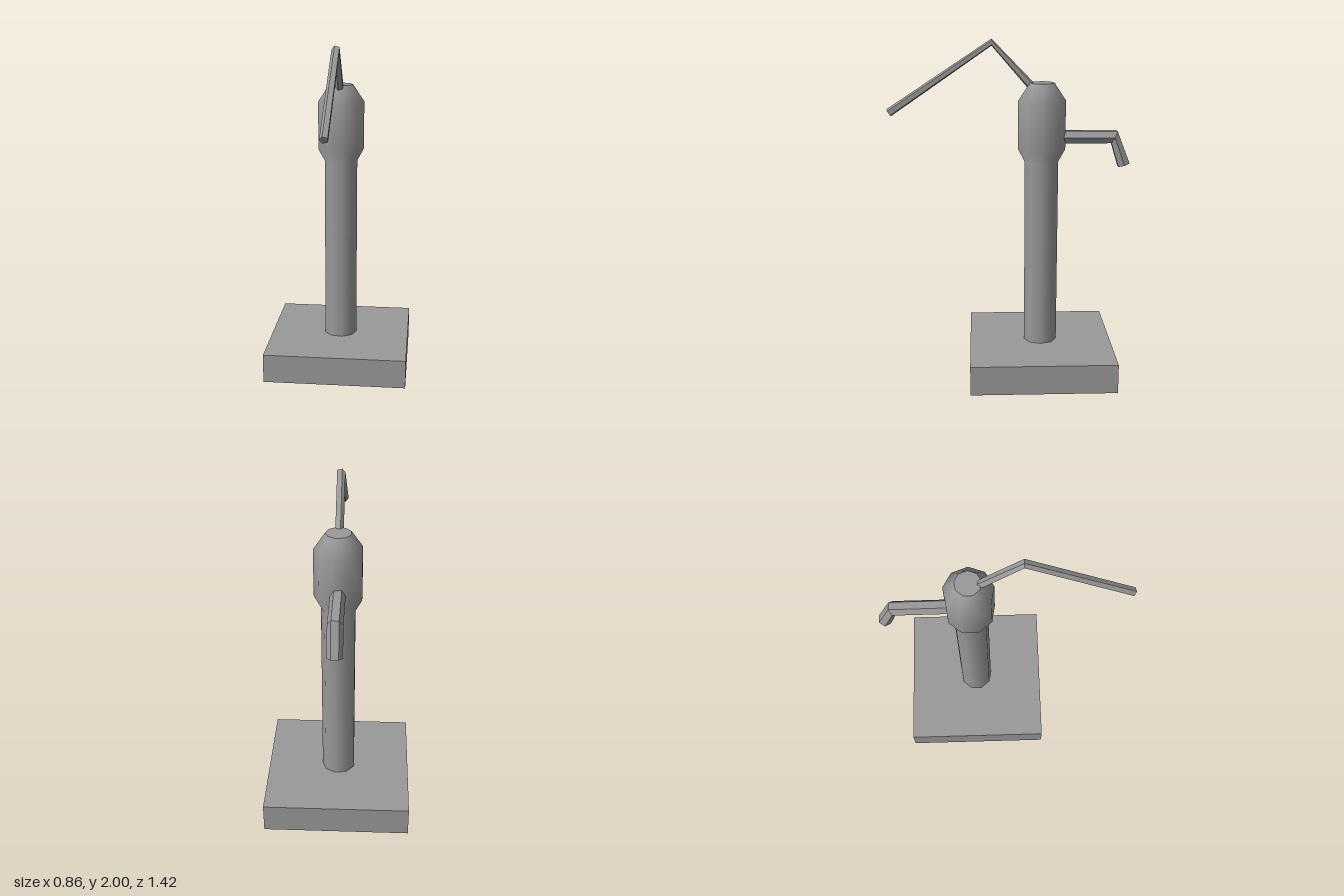
import * as THREE from 'three';

// Lofts a flat-faced bar through stations [y, z, upY, upZ]; the path must run towards +z.
function bar(name, stations, sides, radius, phase, material) {
  const rings = stations.map(([y, z, uy, uz]) =>
    Array.from({ length: sides }, (_, i) => {
      const a = phase + (i / sides) * Math.PI * 2;
      return [radius * Math.cos(a), y + uy * Math.sin(a), z + uz * Math.sin(a)];
    }));
  const pos = [];
  const tri = (...corners) => corners.forEach((c) => pos.push(...c));
  const first = rings[0], last = rings[rings.length - 1];
  const centre = (s) => [0, s[0], s[1]];
  for (let i = 0; i < sides; i++) {
    const k = (i + 1) % sides;
    for (let j = 0; j < rings.length - 1; j++) {
      const lo = rings[j], hi = rings[j + 1];
      tri(lo[i], lo[k], hi[k]);
      tri(lo[i], hi[k], hi[i]);
    }
    tri(centre(stations[0]), first[k], first[i]);
    tri(centre(stations[stations.length - 1]), last[i], last[k]);
  }
  const geometry = new THREE.BufferGeometry();
  geometry.setAttribute('position', new THREE.Float32BufferAttribute(pos, 3));
  geometry.computeVertexNormals();
  const mesh = new THREE.Mesh(geometry, material);
  mesh.name = name;
  return mesh;
}

export function createModel() {
  const group = new THREE.Group();
  group.name = 'waterPump';
  const iron = new THREE.MeshStandardMaterial({ color: 0x999999 });
  iron.name = 'grey iron';
  const axisZ = -0.19;

  // Square plinth
  const base = new THREE.Mesh(new THREE.BoxGeometry(0.856, 0.175, 0.856), iron);
  base.name = 'base';
  base.position.set(0, 0.0875, axisZ);
  group.add(base);

  // Nine-sided column swelling into the pump head
  const profile = [[0.1, 0.17], [0.1, 1.29], [0.14, 1.365], [0.14, 1.65], [0.073, 1.75]]
    .map(([r, y]) => new THREE.Vector2(r, y));
  const column = new THREE.Mesh(new THREE.LatheGeometry(profile, 9, Math.PI / 2), iron);
  column.name = 'column';
  column.position.z = axisZ;
  group.add(column);

  // Flat lid on the head
  const lid = new THREE.Mesh(new THREE.CircleGeometry(0.073, 9), iron);
  lid.name = 'headLid';
  lid.rotation.x = -Math.PI / 2;
  lid.position.set(0, 1.75, axisZ);
  group.add(lid);

  // Bent five-sided lever reaching forwards
  group.add(bar('handle', [
    [1.735, -0.125, 0.017, -0.018],
    [1.98, 0.1, 0.021, 0],
    [1.58, 0.695, 0.021, 0.014],
  ], 5, 0.025, Math.PI, iron));

  // Six-sided spout, from its tip back into the head
  group.add(bar('spout', [
    [1.265, -0.677, 0.012, -0.038],
    [1.432, -0.617, 0.04, -0.02],
    [1.434, -0.26, 0.043, 0],
  ], 6, 0.043, 0, iron));

  return group;
}
